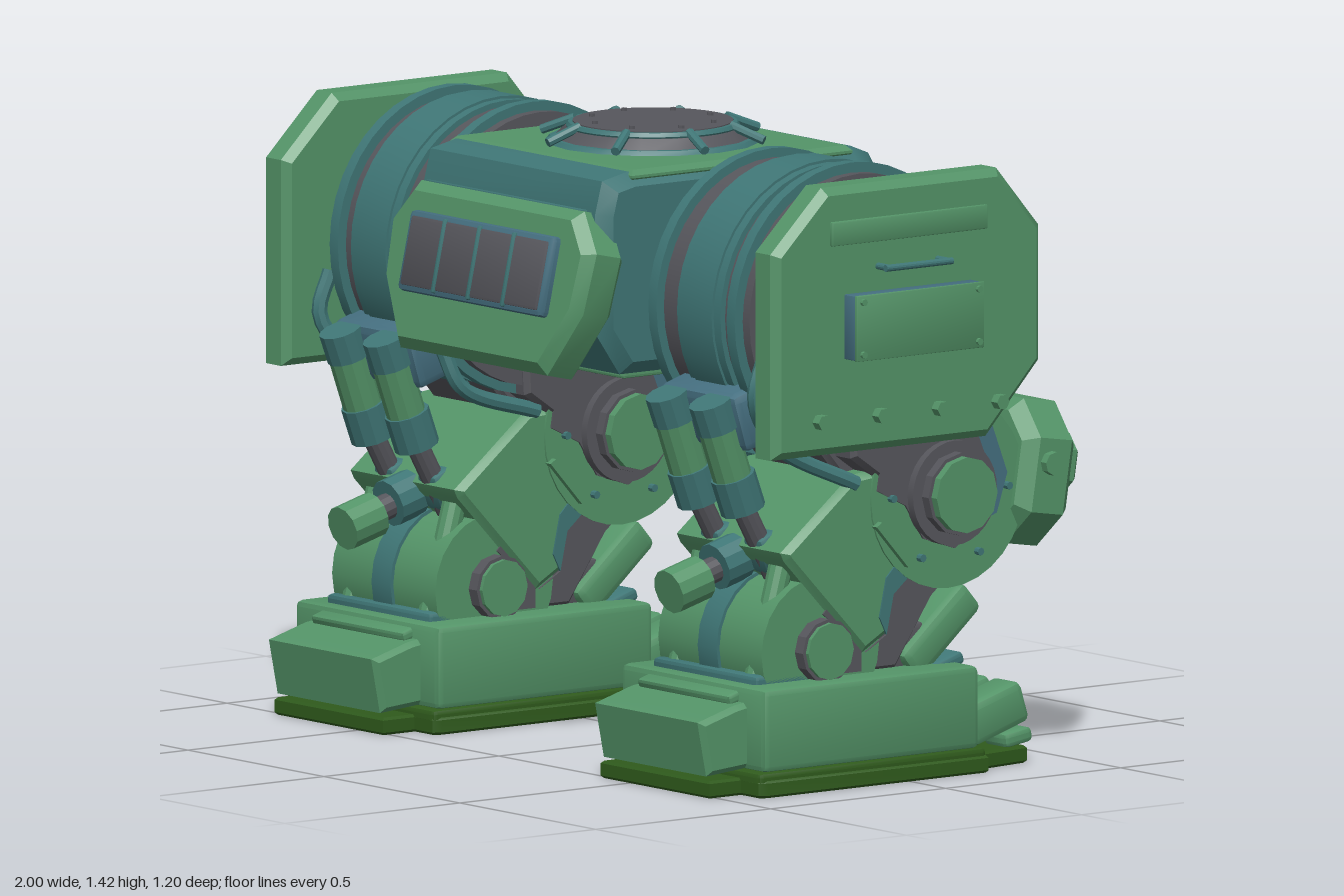
import * as THREE from 'three';
import { toCreasedNormals } from 'three/addons/utils/BufferGeometryUtils.js';
import { RoundedBoxGeometry } from 'three/addons/geometries/RoundedBoxGeometry.js';

const paint = (name, hex) => {
  const m = new THREE.MeshStandardMaterial({ color: hex });
  m.name = name;
  return m;
};

export function createModel() {
  const green = paint('armour green', 0x549468);
  const teal = paint('frame teal', 0x3f7676);
  const blue = paint('camo blue', 0x456f80);
  const grey = paint('steel grey', 0x56565c);
  const olive = paint('sole olive', 0x2f5a1c);
  const root = new THREE.Group();
  root.name = 'walker';

  const add = (g, name, geo, mat, pos = [0, 0, 0], rx = 0) => {
    const m = new THREE.Mesh(toCreasedNormals(geo, 0.5), mat);
    m.name = name;
    m.position.set(...pos);
    m.rotation.x = rx;
    g.add(m);
    return m;
  };
  const group = (parent, name, pos = [0, 0, 0], rx = 0) => {
    const g = new THREE.Group();
    g.name = name;
    g.position.set(...pos);
    g.rotation.x = rx;
    parent.add(g);
    return g;
  };
  const box = (g, name, w, h, d, mat, pos, rx = 0, r = 0.012) =>
    add(g, name, new RoundedBoxGeometry(w, h, d, 1, Math.min(r, w / 3, h / 3, d / 3)), mat, pos, rx);
  // Bevelled slab of an outline, centred on its thickness along z
  const slab = (pts, t, b) => {
    const shape = new THREE.Shape(pts.map(p => new THREE.Vector2(...p)));
    const geo = new THREE.ExtrudeGeometry(shape, {
      depth: t - 2 * b, bevelEnabled: b > 0, bevelThickness: b, bevelSize: b,
      bevelOffset: -b, bevelSegments: 1, curveSegments: 8 });
    return geo.translate(0, 0, b - t / 2);
  };
  // Slab of a (z, y) outline, spanning x
  const side = (g, name, pts, x, t, mat, b = 0.012) =>
    add(g, name, slab(pts, t, b).rotateY(-Math.PI / 2), mat, [x, 0, 0]);
  const octagon = (w, h, c) => [[-w / 2 + c, -h / 2], [w / 2 - c, -h / 2], [w / 2, -h / 2 + c], [w / 2, h / 2 - c],
    [w / 2 - c, h / 2], [-w / 2 + c, h / 2], [-w / 2, h / 2 - c], [-w / 2, -h / 2 + c]];
  const drum = (g, name, r, len, mat, pos, n = 32) =>
    add(g, name, new THREE.CylinderGeometry(r, r, len, n).rotateZ(-Math.PI / 2), mat, pos);
  const rod = (g, name, a, b, r, mat, n = 12) => {
    const p = new THREE.Vector3(...a), q = new THREE.Vector3(...b), d = q.clone().sub(p);
    const m = add(g, name, new THREE.CylinderGeometry(r, r, d.length(), n), mat, p.clone().add(q).multiplyScalar(0.5).toArray());
    m.quaternion.setFromUnitVectors(new THREE.Vector3(0, 1, 0), d.normalize());
    return m;
  };
  const tube = (g, name, pts, r, mat) => add(g, name, new THREE.TubeGeometry(
    new THREE.CatmullRomCurve3(pts.map(p => new THREE.Vector3(...p))), 20, r, 8), mat);

  // Central hull
  const hull = group(root, 'hull');
  side(hull, 'hullBody', [[-0.26, 1.36], [0.38, 1.36], [0.45, 1.345], [0.47, 1.27], [0.47, 1.0], [0.4, 0.9],
    [-0.28, 0.9], [-0.37, 1.0], [-0.34, 1.29], [-0.31, 1.34]], 0, 0.69, teal, 0.03);
  add(hull, 'roofPlate', slab([[-0.335, -0.38], [0.335, -0.38], [0.335, 0.25], [-0.335, 0.25]], 0.03, 0.012)
    .rotateX(-Math.PI / 2), green, [0, 1.35, 0]);
  box(hull, 'bellyPlate', 0.63, 0.02, 0.66, green, [0, 0.898, 0.06]);

  // Roof hatch with clamps and bolts
  const hatch = group(hull, 'roofHatch', [0, 1.365, 0.06]);
  add(hatch, 'hatchCollar', new THREE.CylinderGeometry(0.2, 0.235, 0.035, 16), grey, [0, 0.015, 0]);
  add(hatch, 'hatchBase', new THREE.CylinderGeometry(0.235, 0.245, 0.012, 16), teal, [0, 0.004, 0]);
  add(hatch, 'hatchRim', new THREE.TorusGeometry(0.187, 0.01, 6, 32).rotateX(Math.PI / 2), teal, [0, 0.036, 0]);
  add(hatch, 'hatchLid', new THREE.CylinderGeometry(0.182, 0.182, 0.03, 32), grey, [0, 0.032, 0]);
  for (let i = 0; i < 8; i++) {
    const a = i * Math.PI / 4 + 0.2, c = Math.cos(a), s = Math.sin(a);
    rod(hatch, 'hatchClamp', [c * 0.185, 0.043, s * 0.185], [c * 0.265, 0.012, s * 0.265], 0.011, teal, 8);
    add(hatch, 'hatchBolt', new THREE.CylinderGeometry(0.007, 0.007, 0.012, 6), grey, [c * 0.145, 0.048, s * 0.145]);
  }

  // Front panel with barred window
  const face = group(hull, 'frontPanel', [0, 1.085, 0.495], -0.22);
  add(face, 'frontArmour', slab([[-0.27, -0.19], [0.27, -0.19], [0.36, -0.04], [0.37, 0.1], [0.3, 0.19],
    [-0.3, 0.19], [-0.37, 0.1], [-0.36, -0.04]], 0.12, 0.025), green);
  box(face, 'topEdge', 0.57, 0.008, 0.07, teal, [0, 0.19, 0]);
  box(face, 'windowFrame', 0.53, 0.185, 0.035, blue, [0, 0.03, 0.065]);
  box(face, 'windowGlass', 0.505, 0.16, 0.02, grey, [0, 0.03, 0.076]);
  for (let i = 1; i < 4; i++) box(face, 'windowBar', 0.012, 0.17, 0.02, teal, [(i - 2) * 0.127, 0.03, 0.08]);

  // Back panel with raised door, grab bar and latch
  const back = group(hull, 'backPanel', [0, 1.085, -0.405], 0.2);
  add(back, 'backArmour', slab([[-0.24, -0.19], [0.24, -0.19], [0.36, -0.04], [0.36, 0.12], [0.31, 0.19],
    [-0.31, 0.19], [-0.36, 0.12], [-0.36, -0.04]], 0.11, 0.025), green);
  const door = [[-0.2, -0.14], [0.2, -0.14], [0.28, -0.02], [0.27, 0.11], [-0.27, 0.11], [-0.28, -0.02]];
  add(back, 'backDoor', slab(door, 0.05, 0), teal, [0, 0, -0.06]);
  add(back, 'backDoorFace', slab(door, 0.008, 0.003), green, [0, 0, -0.089]);
  rod(back, 'grabBar', [-0.13, 0.07, -0.115], [0.13, 0.07, -0.115], 0.01, teal);
  for (const s of [-1, 1])
    rod(back, 'grabBarPost', [s * 0.12, 0.07, -0.08], [s * 0.12, 0.07, -0.115], 0.01, teal);
  drum(back, 'latch', 0.025, 0.05, teal, [-0.2, -0.09, -0.105], 12);

  for (const s of [-1, 1]) {
    // Shoulder drum
    const hip = group(root, s > 0 ? 'leftShoulder' : 'rightShoulder', [0, 1.07, 0.07]);
    const ring = (name, r, x0, x1, mat) => drum(hip, name, r, x1 - x0, mat, [s * (x0 + x1) / 2, 0, 0], 40);
    ring('innerAxle', 0.2, 0.33, 0.42, grey);
    ring('innerCollar', 0.26, 0.385, 0.41, grey);
    ring('drumCore', 0.312, 0.4, 0.77, grey);
    ring('innerFlange', 0.333, 0.425, 0.455, teal);
    ring('centreBand', 0.325, 0.52, 0.68, teal);
    ring('centreTread', 0.331, 0.545, 0.655, teal);
    ring('outerFlange', 0.335, 0.715, 0.745, teal);
    ring('outerCollar', 0.25, 0.76, 0.79, grey);
    ring('outerAxle', 0.15, 0.78, 0.87, grey);

    // Outer shield with slot cover, access door, handle and bolts
    const shield = group(root, s > 0 ? 'leftShield' : 'rightShield');
    side(shield, 'shieldPlate', [[0.445, 0.78], [0.445, 1.25], [0.3, 1.39], [-0.2, 1.39], [-0.32, 1.25],
      [-0.32, 0.94], [-0.17, 0.78]], s * 0.9, 0.09, green, 0.018);
    box(shield, 'slotCover', 0.014, 0.055, 0.445, green, [s * 0.947, 1.285, 0.065], 0, 0.003);
    box(shield, 'accessDoor', 0.045, 0.148, 0.363, blue, [s * 0.963, 1.07, 0.065], 0, 0.003);
    box(shield, 'doorFace', 0.008, 0.15, 0.365, green, [s * 0.988, 1.07, 0.065], 0, 0.002);
    rod(shield, 'handle', [s * 0.985, 1.2, -0.03], [s * 0.985, 1.2, 0.16], 0.008, teal);
    for (const z of [-0.02, 0.15]) rod(shield, 'handlePost', [s * 0.93, 1.2, z], [s * 0.985, 1.2, z], 0.008, teal);
    for (const z of [-0.19, -0.02, 0.15, 0.32]) drum(shield, 'shieldBolt', 0.018, 0.03, green, [s * 0.953, 0.86, z], 6);
    for (const z of [-0.1, 0.23]) for (const y of [1.01, 1.13])
      drum(shield, 'doorBolt', 0.008, 0.012, green, [s * 0.994, y, z], 8);

    // Leg, with local x measured from its centre line
    const leg = group(root, s > 0 ? 'leftLeg' : 'rightLeg', [s * 0.6, 0, 0]);
    side(leg, 'thigh', [[0.2, 0.95], [-0.22, 0.95], [-0.3, 0.72], [-0.1, 0.58], [0.08, 0.66], [0.2, 0.8]], 0, 0.3, grey);
    side(leg, 'thighCheeks', [[0.13, 0.9], [0.12, 0.74], [0.02, 0.67], [-0.1, 0.68], [-0.12, 0.9]], 0, 0.43, grey);
    box(leg, 'thighFrontBlock', 0.28, 0.14, 0.2, blue, [0, 0.86, 0.29], 0.3, 0.02);
    const guard = group(leg, 'thighRearGuard', [0, 1.01, -0.31], 0.22);
    add(guard, 'guardPlate', slab(octagon(0.39, 0.35, 0.06), 0.13, 0.03), green);
    add(guard, 'guardFace', slab(octagon(0.31, 0.27, 0.045), 0.03, 0.01), green, [0, 0, -0.065]);

    // Knee joint
    const knee = group(leg, 'kneeJoint', [0, 0.64, -0.155]);
    drum(knee, 'kneeDisc', 0.22, 0.42, green, [0, 0, 0], 32);
    drum(knee, 'kneeCore', 0.225, 0.2, grey, [0, 0, 0], 32);
    drum(knee, 'kneeRing', 0.12, 0.47, grey, [0, 0, 0], 32);
    drum(knee, 'kneeHub', 0.087, 0.56, green, [0, 0, 0], 12);
    drum(knee, 'kneeHubCollar', 0.095, 0.52, grey, [0, 0, 0], 12);
    const cap = group(leg, 'kneeCap', [0, 0.655, -0.42], -0.16);
    add(cap, 'kneeArmour', slab(octagon(0.5, 0.33, 0.08), 0.15, 0.03), green);
    add(cap, 'kneeStep', slab(octagon(0.37, 0.22, 0.05), 0.05, 0.02), green, [0, 0.02, -0.09]);
    add(cap, 'kneeFace', slab(octagon(0.25, 0.14, 0.035), 0.07, 0.012), green, [0, 0.02, -0.14]);
    drum(cap, 'kneeCapBolts', 0.027, 0.54, green, [0, 0.03, 0.01], 8);

    // Shin and ankle
    side(leg, 'shin', [[0.11, 0.7], [0.31, 0.54], [0.3, 0.52], [0.08, 0.29], [-0.06, 0.37], [-0.22, 0.5], [-0.1, 0.72]],
      0, 0.41, green, 0.015);
    drum(leg, 'ankleDisc', 0.168, 0.38, green, [0, 0.31, 0.195], 24);
    drum(leg, 'ankleBand', 0.176, 0.07, teal, [0, 0.31, 0.195], 24);
    drum(leg, 'ankleHub', 0.065, 0.46, green, [0, 0.31, 0.195], 12);
    drum(leg, 'ankleHubCollar', 0.073, 0.44, grey, [0, 0.31, 0.195], 12);
    box(leg, 'ankleMount', 0.32, 0.14, 0.36, grey, [0, 0.27, 0.05]);
    side(leg, 'heelStrut', [[0.05, 0.24], [0.08, 0.3], [-0.06, 0.42], [-0.16, 0.42], [-0.04, 0.24]], 0, 0.34, grey);
    const heel = group(leg, 'heelGuard', [0, 0.315, -0.165], -0.86);
    box(heel, 'heelPlate', 0.36, 0.24, 0.085, green, [0, 0, 0], 0, 0.02);
    box(heel, 'heelInset', 0.24, 0.13, 0.02, grey, [0, 0.01, -0.04]);
    for (const k of [-1, 1]) {
      // Painted camouflage patches
      side(leg, 'shinGreyPatch', [[0.08, 0.295], [0.02, 0.33], [0.0, 0.42], [-0.06, 0.47], [-0.17, 0.46], [-0.06, 0.37]],
        k * 0.206, 0.006, grey, 0);
      side(leg, 'shinBluePatch', [[0.02, 0.33], [0.04, 0.37], [0.02, 0.46], [-0.05, 0.53], [-0.06, 0.47], [0.0, 0.42]],
        k * 0.206, 0.006, teal, 0);
      side(leg, 'ankleGreyPatch', [[0.19, 0.39], [0.16, 0.42], [0.08, 0.34], [0.08, 0.25], [0.13, 0.25], [0.12, 0.33]],
        k * 0.191, 0.006, grey, 0);
      side(leg, 'kneeGreyPatch', [[0.04, 0.72], [0.05, 0.66], [-0.03, 0.62], [-0.08, 0.54], [-0.17, 0.51], [-0.26, 0.57],
        [-0.28, 0.66], [-0.23, 0.78], [-0.17, 0.845], [-0.06, 0.83]], k * 0.212, 0.006, grey, 0);
      side(leg, 'kneeBluePatch', [[-0.26, 0.57], [-0.29, 0.58], [-0.32, 0.67], [-0.27, 0.8], [-0.18, 0.85], [-0.23, 0.78],
        [-0.28, 0.66]], k * 0.212, 0.006, blue, 0);
      side(leg, 'shinHandle', [[0.06, 0.58], [0.045, 0.59], [-0.04, 0.49], [-0.03, 0.48]], k * 0.212, 0.025, green, 0);
      for (let i = 0; i < 6; i++) {
        const a = i * Math.PI / 3;
        drum(knee, 'kneeBolt', 0.009, 0.02, teal, [k * 0.215, Math.sin(a) * 0.165, Math.cos(a) * 0.165], 8);
      }
      // Paired front pistons and ankle links
      rod(leg, 'pistonSleeve', [k * 0.08, 0.87, 0.42], [k * 0.08, 0.69, 0.355], 0.045, green);
      rod(leg, 'pistonTop', [k * 0.08, 0.885, 0.425], [k * 0.08, 0.82, 0.4], 0.05, teal);
      rod(leg, 'pistonCollar', [k * 0.08, 0.71, 0.36], [k * 0.08, 0.63, 0.33], 0.052, teal);
      rod(leg, 'pistonRod', [k * 0.08, 0.65, 0.34], [k * 0.08, 0.47, 0.24], 0.026, grey);
      box(leg, 'pistonClevis', 0.07, 0.09, 0.07, teal, [k * 0.08, 0.53, 0.26], 0.4);
      rod(leg, 'ankleLink', [k * 0.14, 0.5, 0.27], [k * 0.14, 0.25, 0.34], 0.028, green);
    }
    // Central damper and outer hose
    rod(leg, 'damperRod', [0, 0.53, 0.2], [0, 0.47, 0.4], 0.03, grey);
    rod(leg, 'damperCollar', [0, 0.51, 0.28], [0, 0.49, 0.35], 0.055, teal);
    rod(leg, 'damperCap', [0, 0.47, 0.39], [0, 0.445, 0.48], 0.052, green);
    tube(leg, 'outerHose', [[s * 0.2, 1.0, 0.36], [s * 0.2, 0.9, 0.39], [s * 0.17, 0.78, 0.3], [s * 0.2, 0.68, 0.1]], 0.018, teal);
    tube(leg, 'innerHose', [[-s * 0.16, 0.86, 0.32], [-s * 0.18, 0.77, 0.28], [-s * 0.2, 0.7, 0.08]], 0.018, teal);

    // Foot
    const foot = group(leg, 'foot');
    const half = [[0.2, -0.52], [0.2, -0.43], [0.265, -0.43], [0.275, -0.41], [0.275, 0.22], [0.23, 0.24], [0.21, 0.38]];
    const outline = [...half, ...half.map(([x, y]) => [-x, y]).reverse()];
    add(foot, 'sole', slab(outline, 0.04, 0.006).rotateX(-Math.PI / 2), olive, [0, 0.02, 0]);
    box(foot, 'soleRim', 0.54, 0.035, 0.65, olive, [0, 0.04, 0.105]);
    box(foot, 'footBlock', 0.53, 0.19, 0.615, green, [0, 0.15, 0.105], 0, 0.014);
    side(foot, 'toeBlock', [[0.4, 0.21], [0.44, 0.205], [0.545, 0.175], [0.52, 0.05], [0.4, 0.06]], 0, 0.4, green);
    box(foot, 'toeCoupler', 0.34, 0.025, 0.06, green, [0, 0.22, 0.41], 0.3);
    box(foot, 'ankleSeat', 0.38, 0.03, 0.24, teal, [0, 0.25, 0.26]);
    box(foot, 'heelLedge', 0.38, 0.03, 0.1, teal, [0, 0.24, -0.17], 0.3);
    for (let i = 0; i < 4; i++) {
      const x = (i - 1.5) * 0.115;
      box(foot, 'heelToe', 0.1, 0.1, 0.17, green, [x, 0.12, -0.29], 0.3, 0.018);
      box(foot, 'heelToeTip', 0.085, 0.035, 0.08, green, [x, 0.06, -0.355], 0.15);
      box(foot, 'heelToeRoot', 0.06, 0.08, 0.08, olive, [x, 0.11, -0.22]);
    }
  }
  return root;
}
